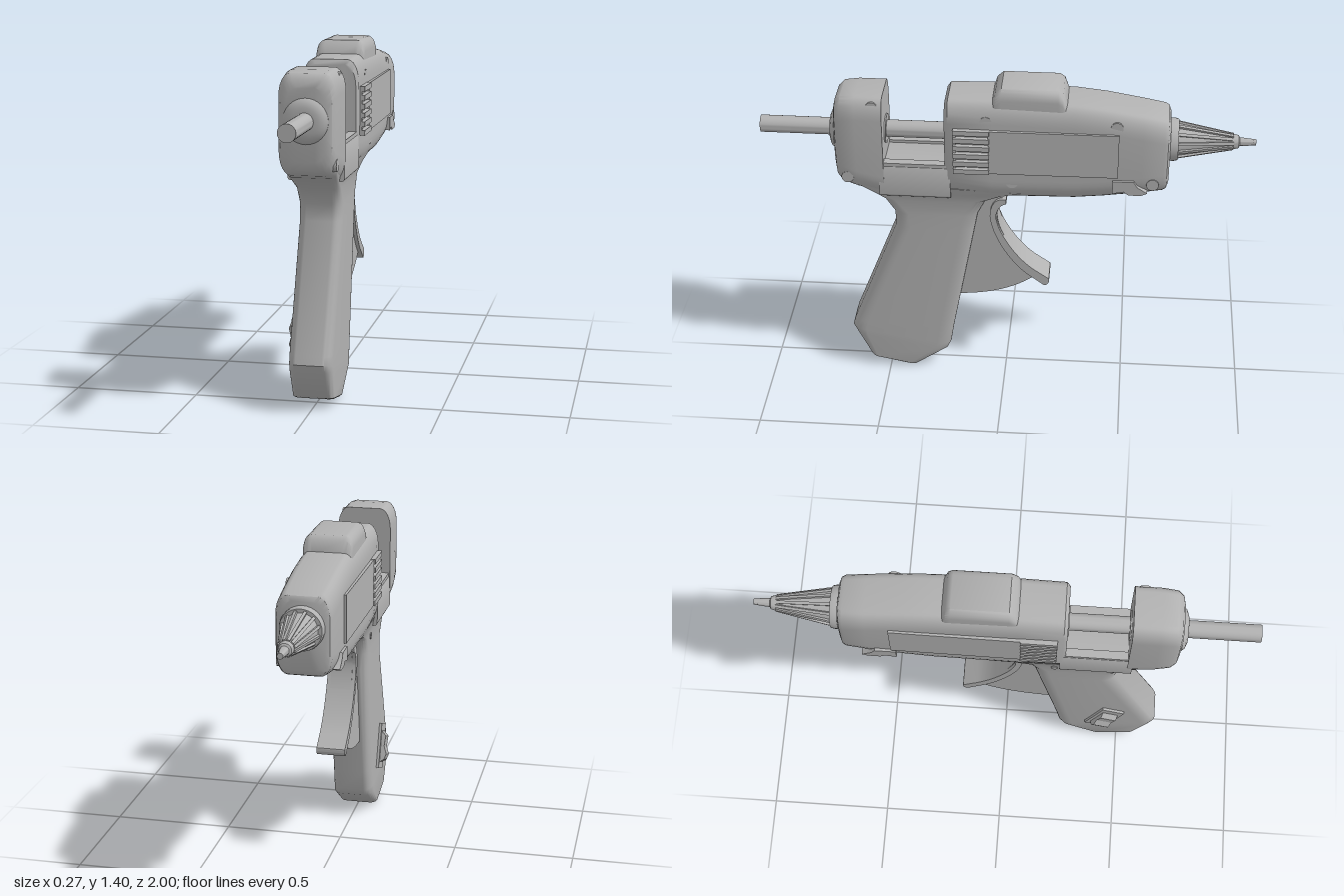
import * as THREE from 'three';
import { toCreasedNormals } from 'three/addons/utils/BufferGeometryUtils.js';

const grey = new THREE.MeshStandardMaterial({ color: 0xb2b2b2 });
grey.name = 'grey plastic';

// Skin over rounded-rectangle rings. Each ring: [zA, yA, zB, yB, halfWidth, cornerAlong, cornerAcross]
function loft(rings) {
  const pos = [], idx = [], seg = 6, n = 4 * (seg + 1);
  const corners = [[1, 1], [-1, 1], [-1, -1], [1, -1]];
  for (const [zA, yA, zB, yB, w, ru, rv] of rings) {
    const len = Math.hypot(zB - zA, yB - yA), uz = (zB - zA) / len, uy = (yB - yA) / len;
    corners.forEach(([su, sv], c) => {
      for (let i = 0; i <= seg; i++) {
        const a = (c + i / seg) * Math.PI / 2;
        const u = su * (len / 2 - ru) + ru * Math.cos(a);
        const v = sv * (w - rv) + rv * Math.sin(a);
        pos.push(v, (yA + yB) / 2 + u * uy, (zA + zB) / 2 + u * uz);
      }
    });
  }
  const last = (rings.length - 1) * n;
  for (let k = 0; k < last; k += n) {
    for (let i = 0; i < n; i++) {
      const a = k + i, b = k + (i + 1) % n;
      idx.push(a, b, b + n, a, b + n, a + n);
    }
  }
  for (let i = 1; i < n - 1; i++) idx.push(0, i + 1, i, last, last + i, last + i + 1);
  const g = new THREE.BufferGeometry();
  g.setAttribute('position', new THREE.Float32BufferAttribute(pos, 3));
  g.setIndex(idx);
  return toCreasedNormals(g, 0.7);
}

// Vertical rings of the housing, listed from back to nose: [z, bottom, top, halfWidth]
const housing = (list, ru = 0.09, rv = 0.045) =>
  loft(list.map(([z, b, t, w]) => [z, b, z, t, w, ru, rv]));

// Side profile in (z, y), given thickness across x, centred on x
function sidePlate(shape, thick) {
  const g = new THREE.ExtrudeGeometry(shape, { depth: thick, bevelEnabled: false, curveSegments: 16 });
  g.translate(0, 0, -thick / 2).rotateY(-Math.PI / 2);
  return toCreasedNormals(g, 0.5);
}

// Turned part along z: points are [radius, z], listed with z rising
function turned(points, segments = 32) {
  const g = new THREE.LatheGeometry(points.map(([r, z]) => new THREE.Vector2(r, z)), segments);
  return toCreasedNormals(g.rotateX(Math.PI / 2), 0.6);
}

export function createModel() {
  const model = new THREE.Group();
  model.name = 'glueGun';
  const add = (name, geometry, x = 0, y = 0, z = 0, parent = model) => {
    const m = new THREE.Mesh(geometry, grey);
    m.name = name;
    m.position.set(x, y, z);
    parent.add(m);
    return m;
  };
  const axisY = 1.157;

  // Upper housing: rear block, bridge under the gap, main barrel and hump
  add('rearBlock', housing([
    [0.69, 1.0, 1.285, 0.08], [0.682, 0.968, 1.315, 0.1], [0.66, 0.945, 1.335, 0.111],
    [0.6, 0.925, 1.342, 0.115], [0.49, 0.9, 1.342, 0.115]]));
  add('bridge', housing([[0.51, 0.9, 1.045, 0.113], [0.22, 0.9, 1.045, 0.113]], 0.012, 0.012));
  for (const s of [-1, 1]) {
    add('gapRail', new THREE.BoxGeometry(0.035, 0.03, 0.27), s * 0.092, 1.042, 0.365);
  }
  add('barrel', housing([
    [0.242, 0.93, 1.325, 0.105], [0.228, 0.92, 1.343, 0.114], [0.05, 0.905, 1.347, 0.115],
    [-0.28, 0.912, 1.338, 0.115], [-0.4, 0.925, 1.325, 0.115], [-0.55, 0.946, 1.3, 0.113],
    [-0.635, 0.96, 1.285, 0.11], [-0.65, 0.967, 1.278, 0.104], [-0.658, 0.985, 1.26, 0.088]]));
  add('hump', housing([
    [0.055, 1.2, 1.335, 0.094], [0.04, 1.2, 1.378, 0.1], [0.015, 1.2, 1.4, 0.1],
    [-0.21, 1.2, 1.4, 0.1], [-0.23, 1.2, 1.385, 0.1], [-0.25, 1.2, 1.33, 0.094]], 0.045, 0.035));

  // Grip flares into the housing and ends in a slanted foot
  add('handle', loft([
    [0.64, 0.955, -0.1, 0.93, 0.102, 0.04, 0.04],
    [0.57, 0.91, 0.0, 0.905, 0.094, 0.04, 0.04],
    [0.5, 0.865, 0.08, 0.87, 0.088, 0.05, 0.035],
    [0.458, 0.8, 0.115, 0.8, 0.087, 0.06, 0.035],
    [0.455, 0.73, 0.128, 0.73, 0.087, 0.06, 0.035],
    [0.65, 0.235, 0.222, 0.22, 0.087, 0.06, 0.035],
    [0.66, 0.2, 0.236, 0.13, 0.087, 0.06, 0.035],
    [0.645, 0.17, 0.25, 0.1, 0.087, 0.05, 0.035],
    [0.585, 0.05, 0.38, 0.01, 0.083, 0.03, 0.03],
    [0.572, 0.042, 0.393, 0.004, 0.075, 0.03, 0.03]]));

  // Trigger web with a wider finger lip along its curved edge
  const web = new THREE.Shape();
  web.moveTo(0.26, 0.38);
  web.lineTo(0.19, 0.38);
  web.quadraticCurveTo(0.0, 0.39, -0.12, 0.485);
  web.lineTo(-0.12, 0.52);
  web.bezierCurveTo(-0.04, 0.58, 0.04, 0.72, 0.035, 0.8);
  web.quadraticCurveTo(0.02, 0.85, 0.0, 0.85);
  web.lineTo(0.0, 0.87);
  web.lineTo(0.05, 0.88);
  web.lineTo(0.2, 0.85);
  add('triggerWeb', sidePlate(web, 0.09));
  const lip = new THREE.Shape();
  lip.moveTo(-0.115, 0.487);
  lip.lineTo(-0.165, 0.45);
  lip.quadraticCurveTo(-0.19, 0.46, -0.183, 0.485);
  lip.lineTo(-0.125, 0.525);
  lip.bezierCurveTo(-0.04, 0.585, 0.038, 0.72, 0.04, 0.79);
  lip.quadraticCurveTo(0.03, 0.845, -0.003, 0.85);
  lip.lineTo(-0.003, 0.872);
  lip.quadraticCurveTo(0.06, 0.88, 0.065, 0.79);
  lip.bezierCurveTo(0.06, 0.7, -0.02, 0.55, -0.115, 0.487);
  add('triggerLip', sidePlate(lip, 0.12));

  // Glue stick with its rear collar and the gap bushing
  add('glueStick', turned([[0, -0.1], [0.035, -0.1], [0.035, 1], [0, 1]]), 0, axisY, 0);
  add('rearCollar', turned([[0.088, 0.66], [0.088, 0.69], [0.078, 0.703], [0.055, 0.712], [0.034, 0.712]]), 0, axisY, 0);
  add('gapBushing', turned([[0.06, 0.23], [0.06, 0.247], [0.034, 0.247]]), 0, axisY, 0);
  add('gapBushingRear', turned([[0.034, 0.484], [0.06, 0.484], [0.06, 0.5]]), 0, axisY, 0);

  // Ribbed nozzle
  add('nozzle', turned([
    [0, -1], [0.012, -1], [0.018, -0.935], [0.026, -0.93], [0.03, -0.915], [0.03, -0.9],
    [0.068, -0.69], [0.083, -0.69], [0.087, -0.675], [0.087, -0.64]]), 0, axisY, 0);
  const ribs = new THREE.Group();
  ribs.name = 'nozzleRibs';
  ribs.position.y = axisY;
  model.add(ribs);
  const rib = new THREE.Shape([[-0.685, 0.05], [-0.685, 0.078], [-0.91, 0.034], [-0.91, 0.015]]
    .map(p => new THREE.Vector2(...p)));
  const ribGeometry = sidePlate(rib, 0.012);
  for (let i = 0; i < 12; i++) {
    add('nozzleRib', ribGeometry, 0, 0, 0, ribs).rotation.z = (i + 0.5) * Math.PI / 6;
  }

  // Side panels with vent fingers, and clips under the nose
  const clip = new THREE.Shape([[-0.435, 1.022], [-0.52, 1.022], [-0.535, 0.998], [-0.575, 0.972],
    [-0.55, 0.96], [-0.5, 0.96], [-0.48, 0.975], [-0.435, 0.965]].map(p => new THREE.Vector2(...p)));
  for (const s of [-1, 1]) {
    const panel = add('sidePanel', new THREE.BoxGeometry(0.03, 0.195, 0.52), s * 0.111, 1.135, -0.195);
    panel.rotation.y = s * 0.008;
    for (let i = 0; i < 6; i++) {
      add('ventFinger', new THREE.BoxGeometry(0.035, 0.021, 0.145), s * 0.117, 1.046 + i * 0.0355, 0.133);
    }
    add('ventEdge', new THREE.BoxGeometry(0.026, 0.195, 0.012), s * 0.11, 1.135, 0.2);
    add('noseClip', sidePlate(clip, 0.03), s * 0.11).rotation.z = 0;
  }

  // Screws on the left half, and a pin on the right
  const screw = new THREE.CylinderGeometry(0.025, 0.025, 0.06, 20).rotateZ(Math.PI / 2);
  for (const [z, y, x] of [[0.53, 1.305, 0.072], [0.638, 0.985, 0.082], [0.075, 1.265, 0.084],
    [-0.03, 0.99, 0.084], [-0.445, 1.26, 0.082], [-0.595, 1.005, 0.084]]) {
    add('screw', screw, x, y, z);
  }
  add('gripPin', new THREE.CylinderGeometry(0.014, 0.014, 0.04, 16).rotateZ(Math.PI / 2), -0.072, 0.86, 0.2);

  // Rocker switch low on the right of the grip
  const rocker = new THREE.Group();
  rocker.name = 'powerSwitch';
  rocker.position.set(-0.087, 0.268, 0.435);
  rocker.rotation.x = 0.37;
  model.add(rocker);
  add('switchFrame', new THREE.BoxGeometry(0.022, 0.2, 0.1), 0, 0, 0, rocker);
  const key = new THREE.Shape([[0, -0.08], [0, 0.08], [-0.03, 0.045], [-0.026, 0.0], [-0.038, -0.035], [-0.03, -0.06]]
    .map(p => new THREE.Vector2(...p)));
  const keyGeometry = new THREE.ExtrudeGeometry(key, { depth: 0.07, bevelEnabled: false });
  add('switchKey', keyGeometry, 0, 0, -0.035, rocker);
  return model;
}
